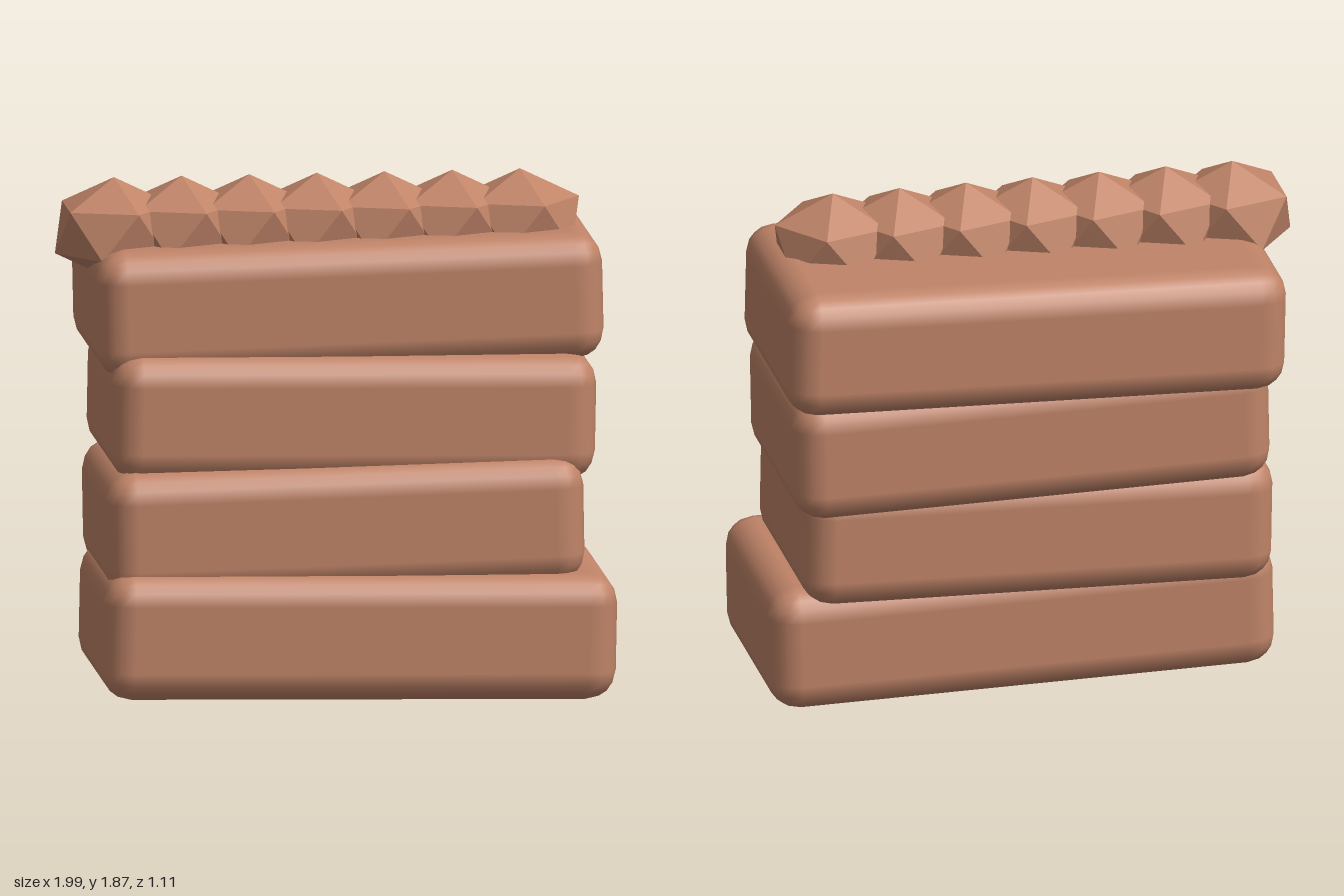
import * as THREE from 'three';
import { RoundedBoxGeometry } from 'three/addons/geometries/RoundedBoxGeometry.js';

export function createModel() {
  const model = new THREE.Group();
  model.name = 'slabStack';
  const clay = new THREE.MeshStandardMaterial({ color: 0xc08468 });
  clay.name = 'clay';

  // Four rounded slabs, stepping back and tilting to alternate sides: [width, x, y, z, tilt]
  const slabs = [
    [1.87, 0.055, 0.26, 0.105, -0.02],
    [1.74, 0.01, 0.65, 0.035, 0.018],
    [1.765, 0.048, 1.04, -0.03, -0.019],
    [1.845, 0.043, 1.438, -0.1, 0.022],
  ];
  slabs.forEach(([width, x, y, z, tilt], i) => {
    const slab = new THREE.Mesh(new RoundedBoxGeometry(width, 0.465, 0.9, 2, 0.11), clay);
    slab.name = `slab${i + 1}`;
    slab.position.set(x, y, z);
    slab.rotation.z = tilt;
    model.add(slab);
  });

  // Row of squashed, faceted stones along the top, each standing on a vertex
  const stoneGeometry = new THREE.IcosahedronGeometry(0.24, 0);
  stoneGeometry.rotateZ(-Math.atan(2 / (1 + Math.sqrt(5))));
  stoneGeometry.scale(1, 0.79, 1);
  stoneGeometry.computeVertexNormals();
  for (let i = 0; i < 7; i++) {
    const stone = new THREE.Mesh(stoneGeometry, clay);
    stone.name = `stone${i + 1}`;
    stone.position.set(-0.785 + i * 0.246, 1.695, 0.018);
    model.add(stone);
  }

  return model;
}
